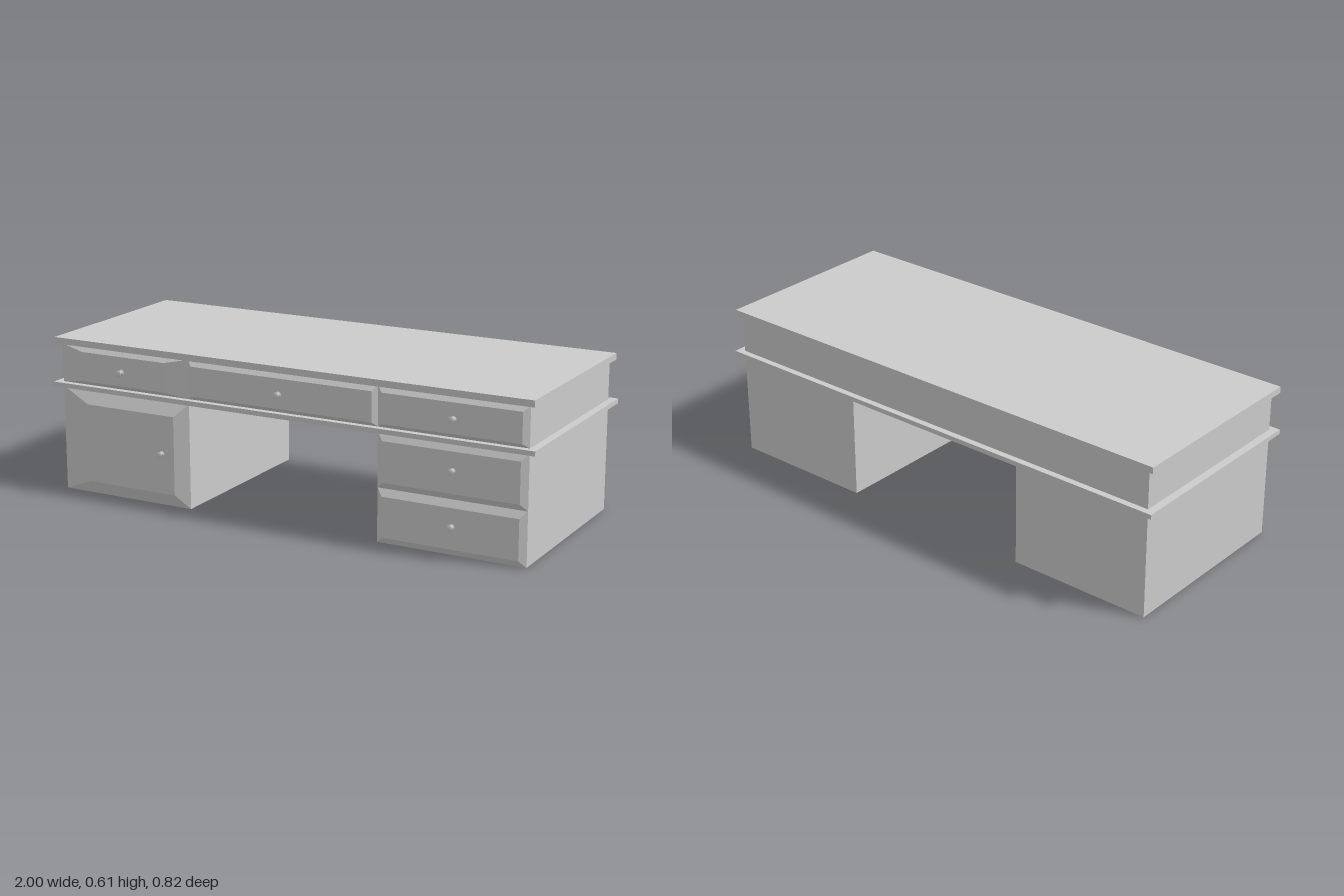
import * as THREE from 'three';

const material = new THREE.MeshStandardMaterial({ color: 0xcccccc });

function add(group, name, geometry) {
  const mesh = new THREE.Mesh(geometry, material);
  mesh.name = name;
  group.add(mesh);
  return mesh;
}

// Box given by its limits on each axis
function slab(group, name, [x0, x1], [y0, y1], [z0, z1]) {
  const mesh = add(group, name, new THREE.BoxGeometry(x1 - x0, y1 - y0, z1 - z0));
  mesh.position.set((x0 + x1) / 2, (y0 + y1) / 2, (z0 + z1) / 2);
}

// Raised panel: a box whose front face is drawn in to form bevels
function panel(group, name, [x0, x1], [y0, y1], [ix0, ix1], [iy0, iy1], front) {
  const back = 0.36;
  const geometry = new THREE.BoxGeometry(1, 1, 1);
  const p = geometry.attributes.position;
  for (let i = 0; i < p.count; i++) {
    const right = p.getX(i) > 0, up = p.getY(i) > 0;
    if (p.getZ(i) > 0) p.setXYZ(i, right ? ix1 : ix0, up ? iy1 : iy0, front);
    else p.setXYZ(i, right ? x1 : x0, up ? y1 : y0, back);
  }
  geometry.computeVertexNormals();
  add(group, name, geometry);
}

export function createModel() {
  const desk = new THREE.Group();
  desk.name = 'desk';

  // Tops and cases
  slab(desk, 'deskTop', [-0.995, 0.99], [0.58, 0.605], [-0.403, 0.376]);
  slab(desk, 'upperCase', [-0.97, 0.97], [0.43, 0.58], [-0.387, 0.36]);
  slab(desk, 'middleLedge', [-1, 1], [0.412, 0.43], [-0.412, 0.385]);
  slab(desk, 'rightPedestal', [-0.97, -0.4], [0, 0.412], [-0.387, 0.36]);
  slab(desk, 'leftPedestal', [0.39, 0.97], [0, 0.412], [-0.387, 0.36]);

  // Bevelled drawer fronts and door
  const row = [0.43, 0.58], rowFace = [0.446, 0.56], z = 0.376;
  panel(desk, 'rightTopDrawer', [-0.97, -0.4], row, [-0.87, -0.5], rowFace, z);
  panel(desk, 'centreDrawer', [-0.4, 0.39], row, [-0.38, 0.372], rowFace, z);
  panel(desk, 'leftTopDrawer', [0.39, 0.97], row, [0.412, 0.948], rowFace, z);
  panel(desk, 'leftMiddleDrawer', [0.39, 0.97], [0.205, 0.412], [0.415, 0.945], [0.23, 0.384], z);
  panel(desk, 'leftBottomDrawer', [0.39, 0.97], [0, 0.205], [0.415, 0.945], [0.025, 0.178], z);
  panel(desk, 'door', [-0.97, -0.4], [0, 0.412], [-0.84, -0.453], [0.054, 0.36], 0.389);

  // Turned knobs with a flared foot and head
  const profile = [[0, 0], [0.012, 0], [0.011, 0.003], [0.005, 0.007], [0.004, 0.012],
    [0.007, 0.016], [0.013, 0.021], [0.012, 0.024], [0, 0.025]]
    .map(([r, h]) => new THREE.Vector2(r, h));
  const knobGeometry = new THREE.LatheGeometry(profile, 16).rotateX(Math.PI / 2);
  const knobs = [[-0.69, 0.5, z], [-0.007, 0.5, z], [0.69, 0.5, z],
    [0.69, 0.313, z], [0.69, 0.108, z], [-0.507, 0.21, 0.388]];
  for (const at of knobs) add(desk, 'knob', knobGeometry).position.set(...at);

  return desk;
}
